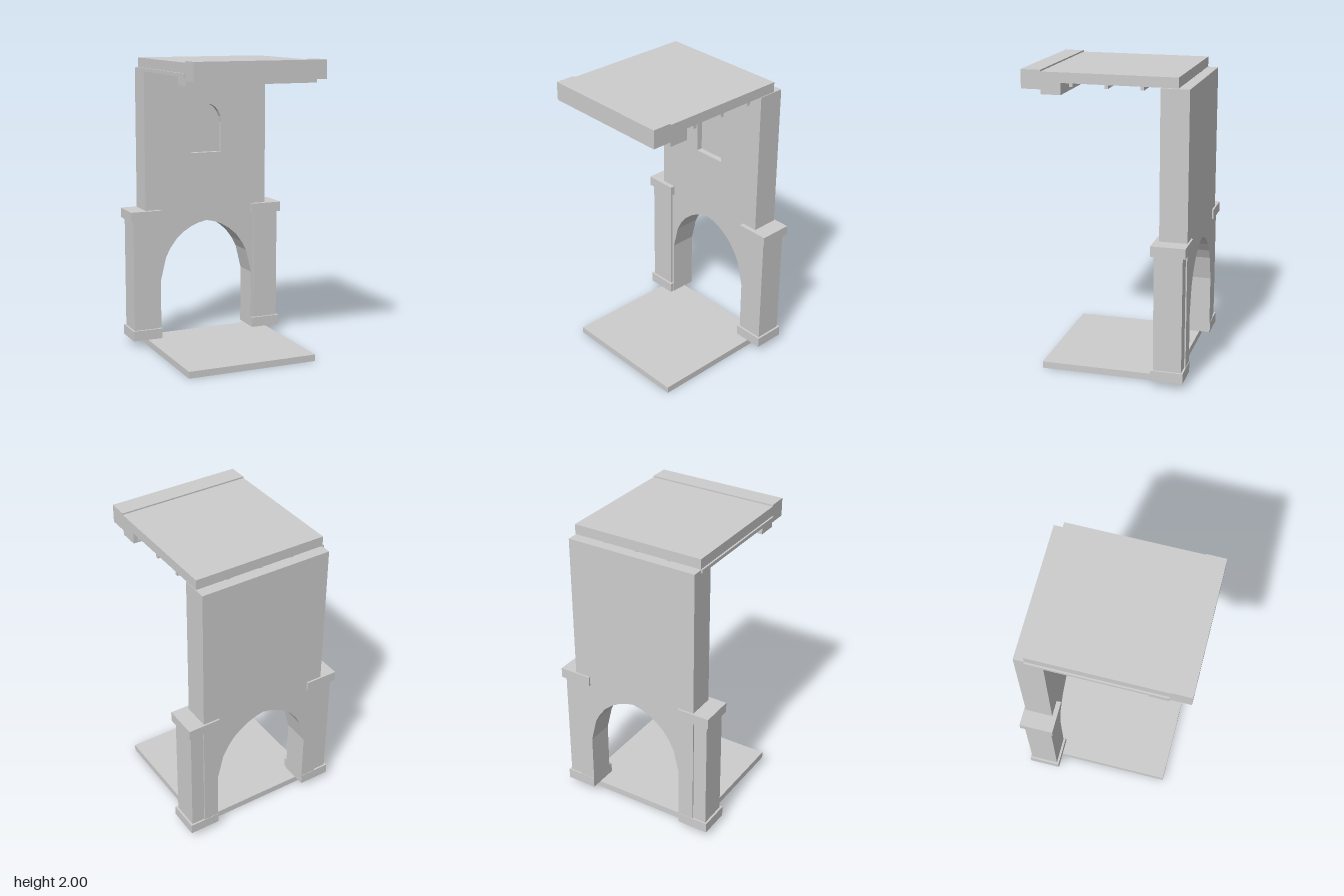
import * as THREE from 'three';

const stone = new THREE.MeshStandardMaterial({ color: 0xcccccc });
stone.name = 'grey stone';

// Box given by its minimum and maximum on each axis
function block(name, x0, x1, y0, y1, z0, z1) {
  const geometry = new THREE.BoxGeometry(x1 - x0, y1 - y0, z1 - z0);
  const mesh = new THREE.Mesh(geometry, stone);
  mesh.name = name;
  mesh.position.set((x0 + x1) / 2, (y0 + y1) / 2, (z0 + z1) / 2);
  return mesh;
}

// Wall outline with the doorway cut up from the bottom edge
function wallShape() {
  const half = [[0.345, 0.045], [0.345, 0.45], [0.305, 0.615], [0.27, 0.68],
    [0.225, 0.74], [0.17, 0.787], [0.115, 0.82], [0.06, 0.842]];
  const shape = new THREE.Shape();
  shape.moveTo(-0.452, 0.045);
  half.forEach(([x, y]) => shape.lineTo(-x, y));
  shape.lineTo(0, 0.855);
  half.slice().reverse().forEach(([x, y]) => shape.lineTo(x, y));
  shape.lineTo(0.45, 0.045);
  shape.lineTo(0.45, 1.92);
  shape.lineTo(-0.452, 1.92);
  shape.closePath();
  return shape;
}

// Round-headed outline of the blind window
function nicheHole() {
  const hole = new THREE.Path();
  hole.moveTo(-0.113, 1.333);
  hole.lineTo(0.113, 1.333);
  for (let i = 0; i <= 10; i++) {
    const a = (Math.PI * i) / 10;
    hole.lineTo(0.113 * Math.cos(a), 1.54 + 0.133 * Math.sin(a));
  }
  hole.closePath();
  return hole;
}

function wallLayer(name, shape, z0, z1) {
  const geometry = new THREE.ExtrudeGeometry(shape, { depth: z1 - z0, bevelEnabled: false });
  const mesh = new THREE.Mesh(geometry, stone);
  mesh.name = name;
  mesh.position.z = z0;
  return mesh;
}

export function createModel() {
  const model = new THREE.Group();
  model.name = 'archwayBay';

  model.add(block('floor', -0.453, 0.45, 0, 0.045, -0.46, 0.44));

  // Wall in two layers, the front one pierced by the niche
  const front = wallShape();
  front.holes.push(nicheHole());
  model.add(wallLayer('wallFront', front, -0.39, -0.35));
  model.add(wallLayer('wallBack', wallShape(), -0.532, -0.39));

  // Pillars with base and capital on both sides of the doorway
  for (const side of [-1, 1]) {
    const pillar = new THREE.Group();
    pillar.name = side > 0 ? 'leftPillar' : 'rightPillar';
    pillar.add(
      block('base', -0.105, 0.105, 0.045, 0.115, -0.535, -0.323),
      block('shaft', -0.091, 0.091, 0.115, 0.885, -0.523, -0.338),
      block('capital', -0.111, 0.111, 0.885, 0.952, -0.544, -0.319)
    );
    pillar.position.x = side > 0 ? 0.45 : -0.454;
    model.add(pillar);
  }

  // Roof slab and stepped front beams
  model.add(
    block('roofSlab', -0.453, 0.45, 1.924, 1.99, -0.463, 0.415),
    block('frontBeam', -0.453, 0.45, 1.878, 2, 0.415, 0.545),
    block('lowerBeam', -0.453, 0.45, 1.848, 1.924, 0.285, 0.415)
  );

  // Ceiling ribs crossing in a grid
  const ribs = new THREE.Group();
  ribs.name = 'ceilingRibs';
  for (const z of [0.218, -0.01, -0.237]) {
    ribs.add(block('crossRib', -0.452, 0.449, 1.901, 1.925, z - 0.011, z + 0.011));
  }
  for (const x of [-0.454, -0.227, 0, 0.227]) {
    ribs.add(block('longRib', x - 0.011, x + 0.011, 1.902, 1.925, -0.463, 0.412));
  }
  model.add(ribs);

  return model;
}
